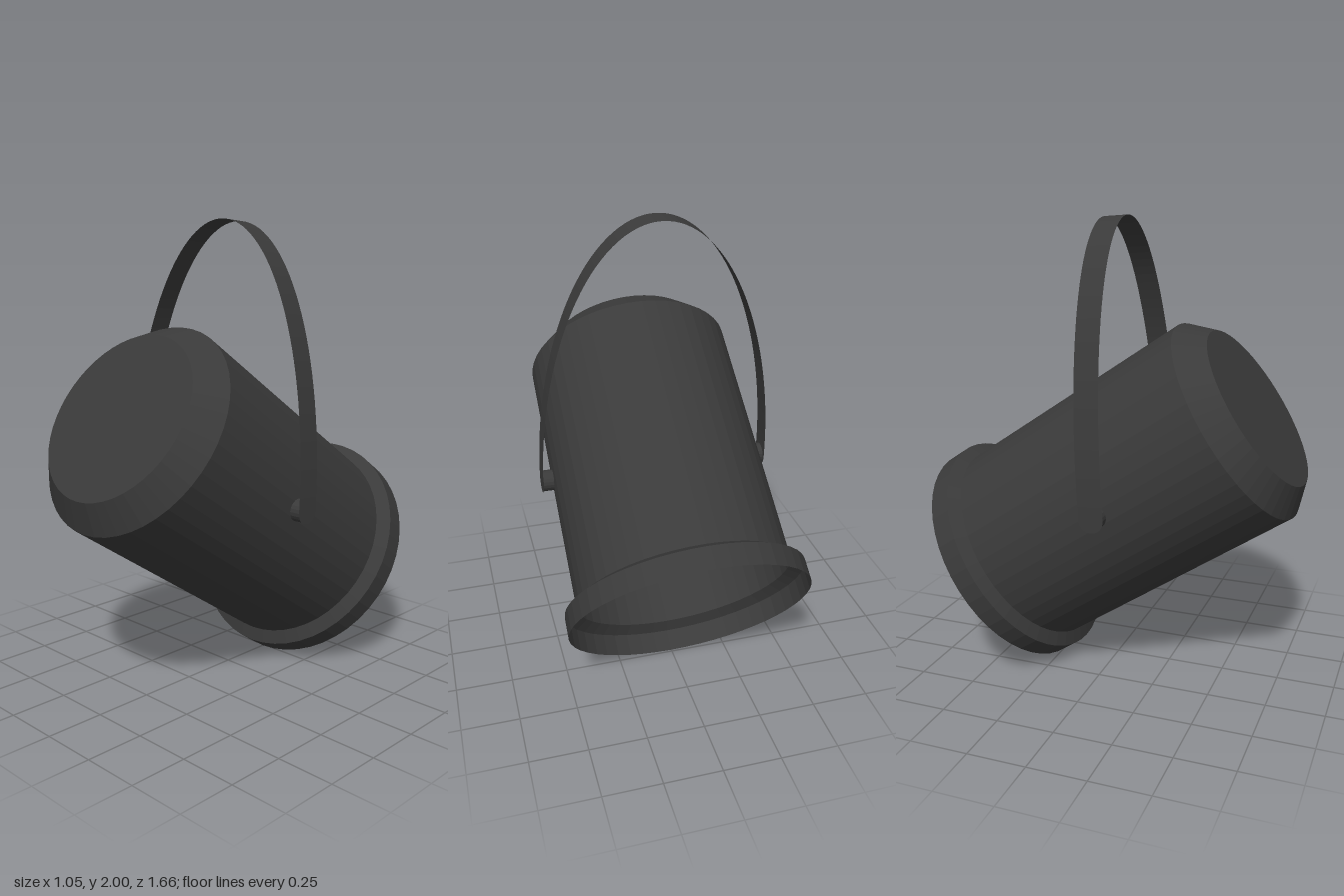
import * as THREE from 'three';

const HALF_WIDTH = 0.052;
const PIVOT = [0, 0.828, 0.073];

// Thin flat strap bent into half an ellipse, with rounded ends below the pivots
function strapGeometry(rx, ry) {
  const rows = [];
  const endSteps = 8, archSteps = 64;
  for (let i = 0; i < endSteps; i++) {
    const a = (Math.PI / 2) * (1 - i / endSteps);
    rows.push([rx, -HALF_WIDTH * Math.sin(a), HALF_WIDTH * Math.cos(a)]);
  }
  for (let i = 0; i <= archSteps; i++) {
    const a = (Math.PI * i) / archSteps;
    rows.push([rx * Math.cos(a), ry * Math.sin(a), HALF_WIDTH]);
  }
  for (let i = endSteps - 1; i >= 0; i--) rows.push([-rx, rows[i][1], rows[i][2]]);

  const positions = [], index = [];
  rows.forEach(([x, y, w], i) => {
    positions.push(x, y, w, x, y, -w);
    if (i > 0) {
      const b = i * 2;
      index.push(b - 2, b - 1, b, b, b - 1, b + 1);
    }
  });
  const geometry = new THREE.BufferGeometry();
  geometry.setAttribute('position', new THREE.Float32BufferAttribute(positions, 3));
  geometry.setIndex(index);
  geometry.computeVertexNormals();
  return geometry;
}

export function createModel() {
  const model = new THREE.Group();
  model.name = 'tippedBucket';

  const charcoal = new THREE.MeshStandardMaterial({
    color: 0x3a3a3a, side: THREE.DoubleSide, flatShading: true,
  });
  charcoal.name = 'charcoal';

  const add = (name, geometry, position) => {
    const mesh = new THREE.Mesh(geometry, charcoal);
    mesh.name = name;
    mesh.position.set(...position);
    model.add(mesh);
    return mesh;
  };

  // Open shell: flared rim, straight wall, chamfer and closed base
  const profile = [
    [0.525, 0], [0.525, 0.095], [0.47, 0.125],
    [0.47, 1.295], [0.372, 1.4], [0, 1.4],
  ].map(([r, y]) => new THREE.Vector2(r, y));
  const shell = add('bucketShell', new THREE.LatheGeometry(profile, 48), [0, 0.44, -0.535]);
  shell.rotation.x = 0.975;

  // Pivot rod running right through the shell
  const rod = add('pivotRod', new THREE.CylinderGeometry(0.047, 0.047, 1.03, 20), PIVOT);
  rod.rotation.z = Math.PI / 2;

  // Carrying handle, leaning slightly back
  const handle = add('handle', strapGeometry(0.518, 1.172), PIVOT);
  handle.rotation.x = -0.071;

  return model;
}
